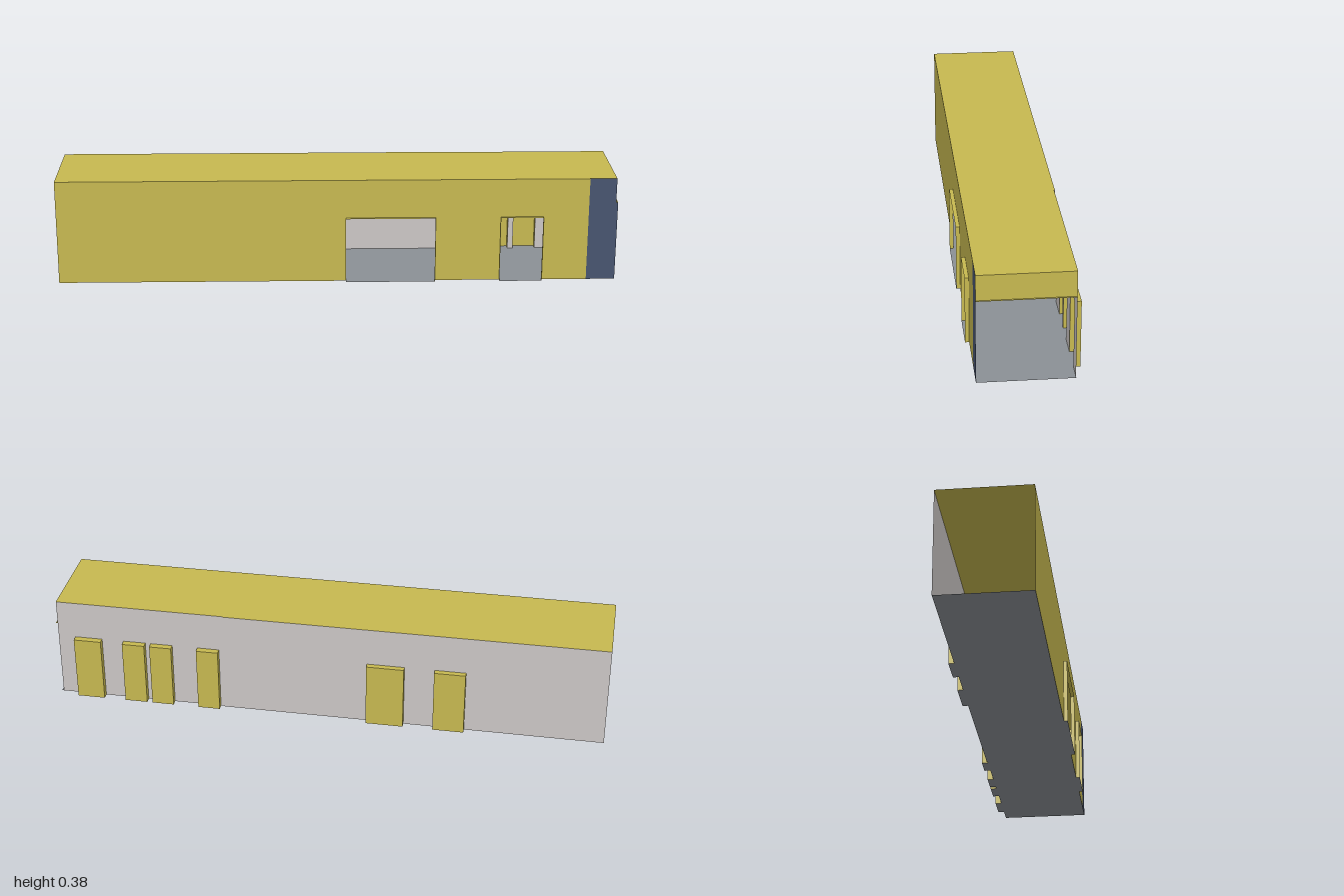
import * as THREE from 'three';

const paint = (name, color) => {
  const m = new THREE.MeshStandardMaterial({ color, side: THREE.DoubleSide });
  m.name = name;
  return m;
};

export function createModel() {
  const yellow = paint('yellow', 0xc6b850);
  const paleGrey = paint('paleGrey', 0xcbc6c5);
  const floorGrey = paint('floorGrey', 0x8b9095);
  const navy = paint('navy', 0x46536f);

  const H = 0.381, DOOR_H = 0.24;
  const FRONT = 0.167, BACK = -0.156, BACK_OUT = -0.159, DEEP = 0.181;
  const STEP = 0.38, ROOF_END = 0.993, LIP = 0.292;

  const model = new THREE.Group();
  model.name = 'hall';

  const add = (parent, name, geometry, material) => {
    const mesh = new THREE.Mesh(geometry, material);
    mesh.name = name;
    parent.add(mesh);
    return mesh;
  };

  // Flat sheet in the ground plane, the wall plane or across the hall
  const level = (parent, name, x0, x1, z0, z1, y, mat) =>
    add(parent, name, new THREE.PlaneGeometry(x1 - x0, z1 - z0).rotateX(-Math.PI / 2)
      .translate((x0 + x1) / 2, y, (z0 + z1) / 2), mat);
  const across = (parent, name, x, y0, y1, z0, z1, mat) =>
    add(parent, name, new THREE.PlaneGeometry(z1 - z0, y1 - y0).rotateY(Math.PI / 2)
      .translate(x, (y0 + y1) / 2, (z0 + z1) / 2), mat);

  // Upright wall with doorways cut up from the ground
  const wall = (name, x0, x1, z, doors, mat) => {
    const s = new THREE.Shape();
    s.moveTo(x0, H);
    s.lineTo(x0, 0);
    for (const [a, b] of doors) {
      s.lineTo(a, 0);
      s.lineTo(a, DOOR_H);
      s.lineTo(b, DOOR_H);
      s.lineTo(b, 0);
    }
    s.lineTo(x1, 0);
    s.lineTo(x1, H);
    const geometry = new THREE.ShapeGeometry(s);
    // The back wall faces outward
    if (z < 0) {
      geometry.scale(-1, 1, 1).rotateY(Math.PI);
      const index = geometry.index;
      for (let i = 0; i < index.count; i += 3) {
        const t = index.getX(i);
        index.setX(i, index.getX(i + 1));
        index.setX(i + 1, t);
      }
      geometry.computeVertexNormals();
    }
    return add(model, name, geometry.translate(0, 0, z), mat);
  };

  // Doorway surround standing out from a wall, optionally closed by a door
  const doorway = (name, a, b, zWall, zOut, closed) => {
    const g = new THREE.Group();
    g.name = name;
    const z0 = Math.min(zWall, zOut), z1 = Math.max(zWall, zOut);
    level(g, 'head', a, b, z0, z1, DOOR_H, yellow);
    level(g, 'threshold', a, b, z0, z1, 0, floorGrey);
    for (const x of [a, b]) across(g, 'jamb', x, 0, DOOR_H, z0, z1, yellow);
    if (closed) {
      add(g, 'door', new THREE.PlaneGeometry(b - a, DOOR_H).rotateY(Math.PI)
        .translate((a + b) / 2, DOOR_H / 2, zOut), yellow);
    }
    model.add(g);
  };

  const entrances = [[0.03, 0.35], [0.583, 0.735]];
  const backDoorsWest = [[-0.5, -0.388], [-0.28, -0.145]];
  const backDoorsEast = [[0.395, 0.475], [0.568, 0.648], [0.668, 0.75], [0.83, 0.93]];

  // Walls
  wall('frontWall', -1, 0.897, FRONT, entrances, yellow);
  wall('backWallWide', -1, STEP, BACK_OUT, backDoorsWest, paleGrey);
  wall('backWallNarrow', STEP, ROOF_END, BACK, backDoorsEast, paleGrey);
  across(model, 'backWallStep', STEP, 0, H, BACK_OUT, BACK, paleGrey);

  // Navy corner panel, set back above the lip
  const corner = new THREE.Shape([
    [0.897, 0], [1, 0], [1, LIP], [ROOF_END, LIP], [ROOF_END, H], [0.897, H],
  ].map(([x, y]) => new THREE.Vector2(x, y)));
  add(model, 'cornerPanel', new THREE.ShapeGeometry(corner).translate(0, 0, FRONT), navy);

  // Doorways: open at the front, closed at the back
  for (const [a, b] of entrances) doorway('entrance', a, b, FRONT, DEEP, false);
  for (const [a, b] of backDoorsWest) doorway('backDoor', a, b, BACK_OUT, -0.179, true);
  for (const [a, b] of backDoorsEast) doorway('backDoor', a, b, BACK, -0.179, true);

  // Roof and floor, following the step in the back wall
  for (const [name, y, end, mat] of [['roof', H, ROOF_END, yellow], ['floor', 0, 1, floorGrey]]) {
    level(model, name, -1, STEP, BACK_OUT, FRONT, y, mat);
    level(model, name, STEP, end, BACK, FRONT, y, mat);
  }

  // Fascia over the open end, with its small lip
  across(model, 'fascia', ROOF_END, LIP, H, BACK, FRONT, yellow);
  level(model, 'fasciaLip', ROOF_END, 1, BACK, FRONT, LIP, yellow);

  return model;
}
